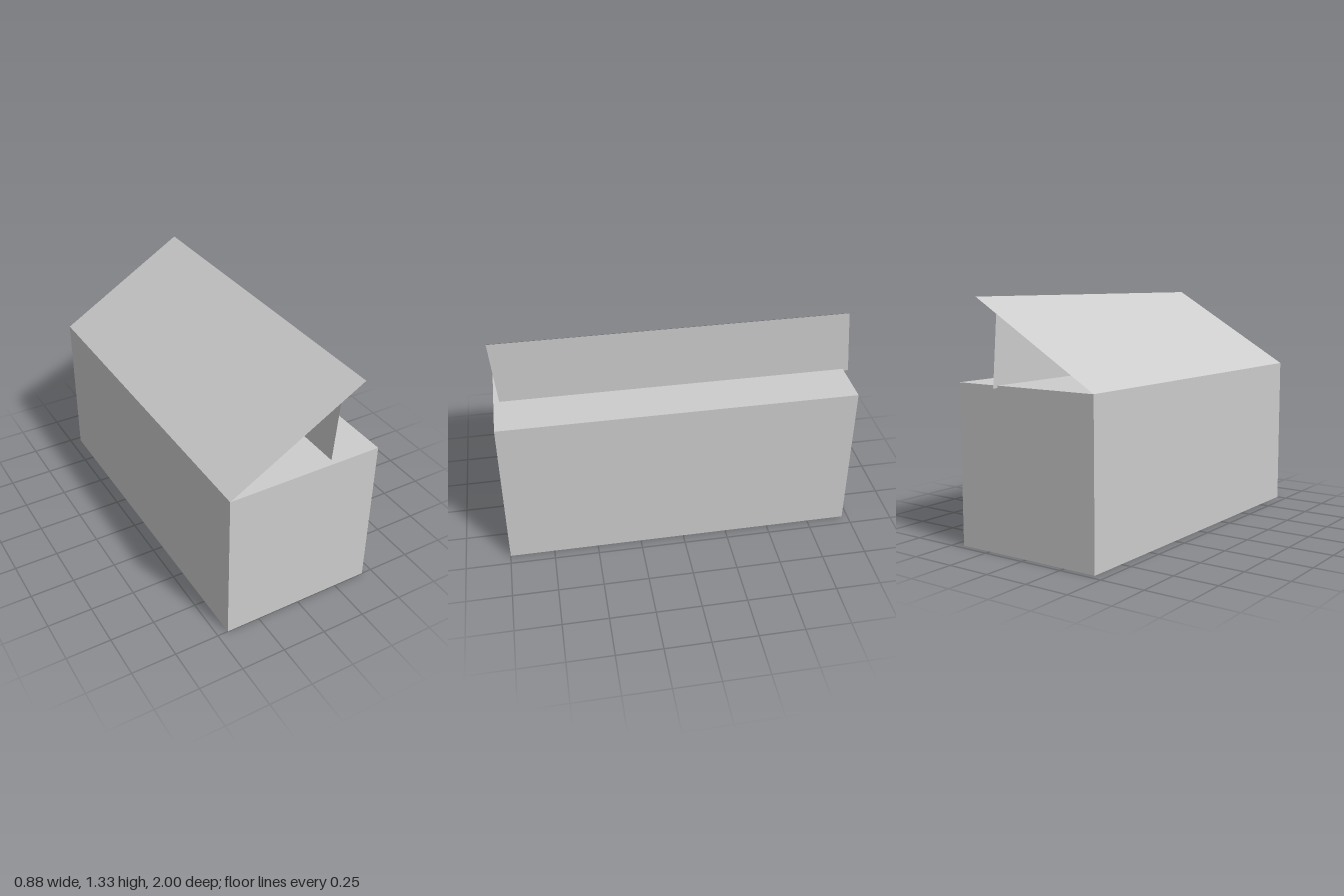
import * as THREE from 'three';

const FRONT = 1, BACK = -0.967, HALF = 0.44, TOP = 0.88;

// Flat four-cornered sheet, corners given in order around its edge
function sheet(name, corners, material) {
  const geometry = new THREE.BufferGeometry();
  geometry.setAttribute('position', new THREE.Float32BufferAttribute(corners.flat(), 3));
  geometry.setIndex([0, 1, 2, 0, 2, 3]);
  geometry.computeVertexNormals();
  const mesh = new THREE.Mesh(geometry, material);
  mesh.name = name;
  return mesh;
}

export function createModel() {
  const group = new THREE.Group();
  group.name = 'boxWithSlopingRoof';

  const grey = new THREE.MeshStandardMaterial({ color: 0xcccccc });
  grey.name = 'light grey';
  const thinGrey = grey.clone();
  thinGrey.side = THREE.DoubleSide;

  // Solid lower body
  const body = new THREE.Mesh(new THREE.BoxGeometry(HALF * 2, TOP, FRONT - BACK), grey);
  body.name = 'body';
  body.position.set(0, TOP / 2, (FRONT + BACK) / 2);
  group.add(body);

  // Single sloping roof sheet, rising from the right edge
  group.add(sheet('roof', [
    [-HALF, TOP, FRONT], [0.31, 1.325, FRONT], [0.31, 1.325, BACK], [-HALF, TOP, BACK],
  ], thinGrey));

  // Upright wall under the roof, its foot skewed slightly backwards
  group.add(sheet('upperWall', [
    [0.17, 0.868, FRONT - 0.033], [0.17, 0.868, -1], [0.17, 1.241, BACK], [0.17, 1.241, FRONT],
  ], thinGrey));

  return group;
}
